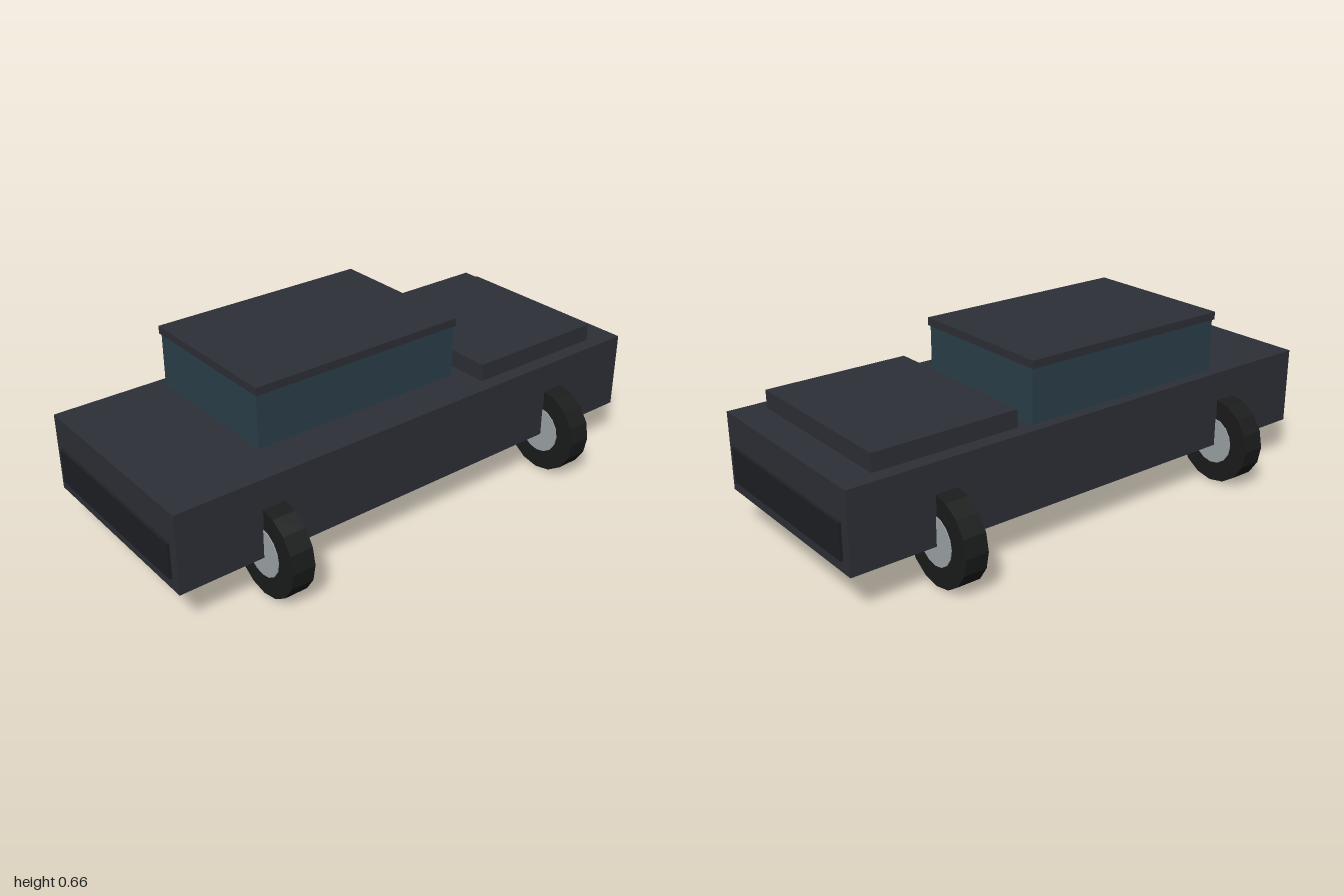
import * as THREE from 'three';

const mat = (color) => new THREE.MeshStandardMaterial({ color, flatShading: true });

export function createModel() {
  const car = new THREE.Group();
  const paint = mat(0x2d3038);
  const glass = mat(0x2c404a);
  const trim = mat(0x1e2025);
  const rubber = mat(0x1b1c1c);
  const metal = mat(0xa0a6a8);

  // Box given by its extents along each axis
  function box(name, material, [x0, x1], [y0, y1], [z0, z1]) {
    const mesh = new THREE.Mesh(new THREE.BoxGeometry(x1 - x0, y1 - y0, z1 - z0), material);
    mesh.position.set((x0 + x1) / 2, (y0 + y1) / 2, (z0 + z1) / 2);
    mesh.name = name;
    car.add(mesh);
  }

  // Body, hood, cabin and overhanging roof
  box('body', paint, [-0.99, 0.99], [0.15, 0.44], [-0.39, 0.39]);
  box('hood', paint, [0.312, 0.868], [0.44, 0.505], [-0.336, 0.336]);
  box('cabin', glass, [-0.58, 0.26], [0.44, 0.637], [-0.348, 0.232]);
  box('roof', paint, [-0.585, 0.265], [0.637, 0.666], [-0.356, 0.24]);

  // End panels
  box('noseGrille', trim, [0.98, 1], [0.193, 0.323], [-0.353, 0.353]);
  box('tailPanel', trim, [-1, -0.98], [0.193, 0.323], [-0.353, 0.353]);

  // Four wheels, each a tyre with a slightly proud hub
  const tyreGeo = new THREE.CylinderGeometry(0.165, 0.165, 0.086, 16).rotateZ(Math.PI / 2);
  const hubGeo = new THREE.CylinderGeometry(0.09, 0.09, 0.092, 16).rotateZ(Math.PI / 2);
  for (const x of [-0.633, 0.633]) {
    for (const z of [-0.378, 0.378]) {
      const wheel = new THREE.Group();
      wheel.name = 'wheel';
      const tyre = new THREE.Mesh(tyreGeo, rubber);
      tyre.name = 'tyre';
      const hub = new THREE.Mesh(hubGeo, metal);
      hub.name = 'hub';
      wheel.add(tyre, hub);
      wheel.position.set(x, 0.167, z);
      car.add(wheel);
    }
  }
  return car;
}
